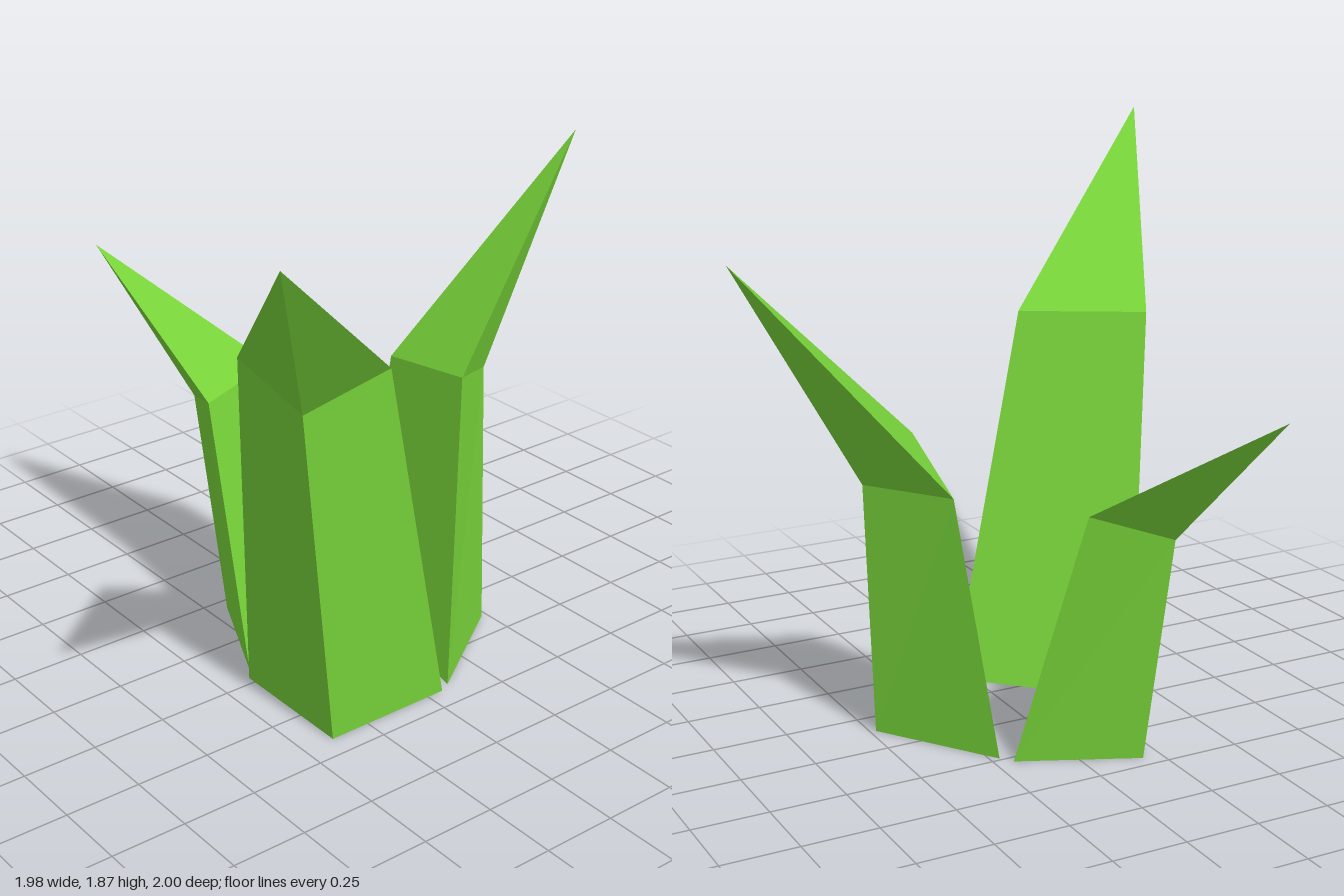
import * as THREE from 'three';

const green = new THREE.MeshStandardMaterial({ color: 0x78d43a, flatShading: true });

// A three-sided blade: base ring, bend ring (both counterclockwise from above) and a tip
function blade(name, base, bend, tip) {
  const pos = [];
  const tri = (a, b, c) => pos.push(...a, ...b, ...c);
  for (let i = 0; i < 3; i++) {
    const j = (i + 1) % 3;
    tri(base[i], base[j], bend[j]); // stem side
    tri(base[i], bend[j], bend[i]);
    tri(bend[i], bend[j], tip); // pointed end
  }
  tri(base[0], base[2], base[1]); // underside
  const geometry = new THREE.BufferGeometry();
  geometry.setAttribute('position', new THREE.Float32BufferAttribute(pos, 3));
  geometry.computeVertexNormals();
  const mesh = new THREE.Mesh(geometry, green);
  mesh.name = name;
  return mesh;
}

export function createModel() {
  const group = new THREE.Group();
  group.name = 'grassTuft';

  // Tall blade leaning to the front right
  group.add(blade('tallGrassBlade',
    [[-0.39, 0, -0.03], [-0.39, 0, 0.42], [0.06, 0, 0.42]],
    [[-0.58, 1.28, 0.22], [-0.57, 1.2, 0.52], [-0.25, 1.26, 0.52]],
    [-0.99, 1.87, 1.0]));

  // Middle blade leaning to the left
  group.add(blade('middleGrassBlade',
    [[0.1, 0, 0.4], [0.48, 0, 0.14], [0.22, 0, -0.24]],
    [[0.3, 0.975, 0.21], [0.555, 0.885, 0.03], [0.37, 0.885, -0.235]],
    [0.985, 1.62, -0.02]));

  // Short blade leaning backwards
  group.add(blade('shortGrassBlade',
    [[-0.36, 0, -0.07], [0.19, 0, -0.28], [-0.185, 0, -0.45]],
    [[-0.31, 0.86, -0.34], [0.05, 0.855, -0.5], [-0.2, 0.77, -0.59]],
    [-0.31, 1.22, -1.0]));

  return group;
}
